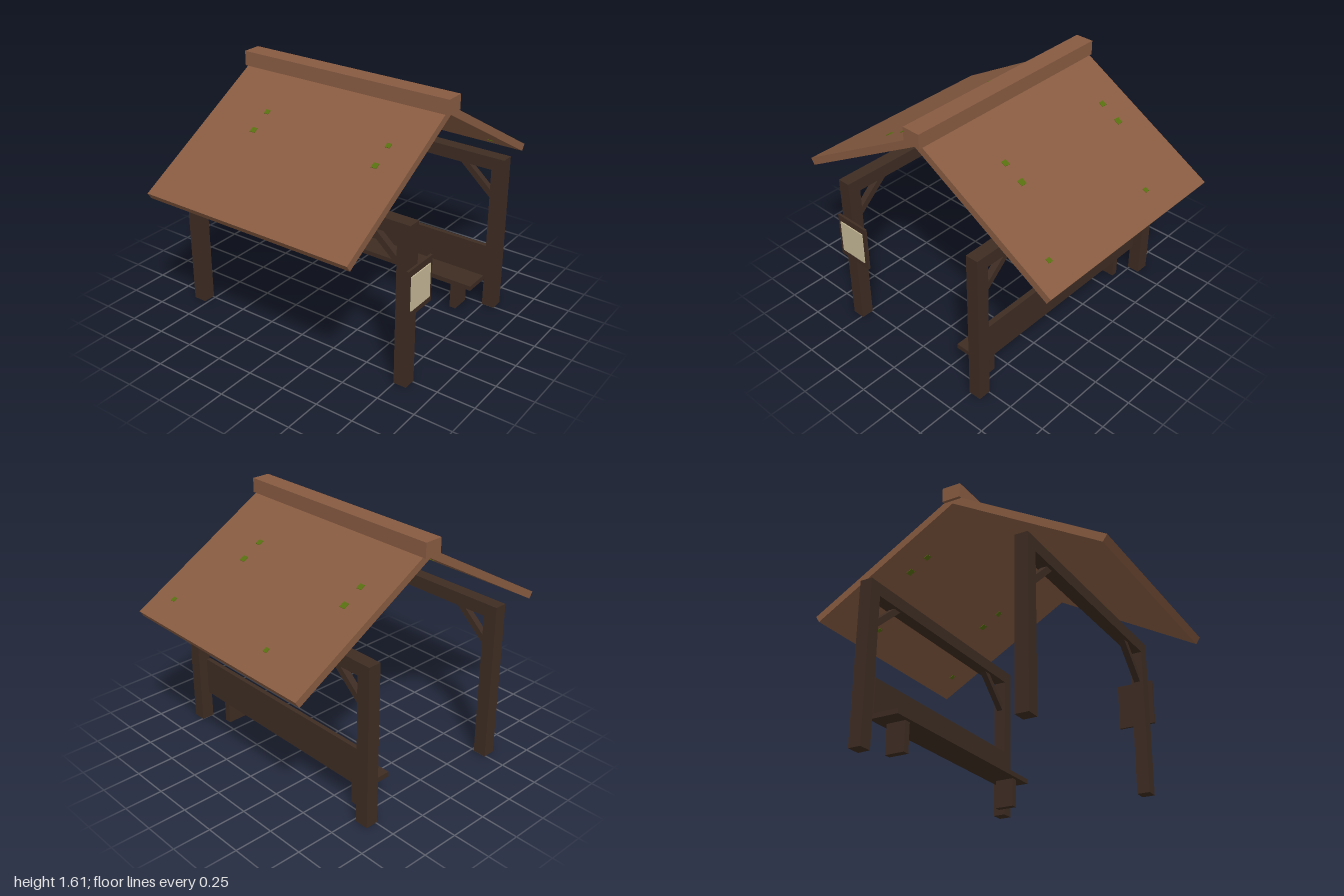
import * as THREE from 'three';

const mat = (name, color) => {
  const m = new THREE.MeshStandardMaterial({ color });
  m.name = name;
  return m;
};

export function createModel() {
  const model = new THREE.Group();
  model.name = 'openShelter';
  const darkWood = mat('dark wood', 0x3d2c22);
  const roofWood = mat('roof wood', 0x875b41);
  const paper = mat('paper', 0xc6b997);
  const moss = mat('moss', 0x58700f);

  // Box given by its extents on each axis
  function box(name, material, [x0, x1], [y0, y1], [z0, z1]) {
    const mesh = new THREE.Mesh(new THREE.BoxGeometry(x1 - x0, y1 - y0, z1 - z0), material);
    mesh.position.set((x0 + x1) / 2, (y0 + y1) / 2, (z0 + z1) / 2);
    mesh.name = name;
    model.add(mesh);
    return mesh;
  }

  // Front and back frames: two posts, a top beam and two diagonal braces
  const left = 0.745, right = -0.77;
  for (const side of [1, -1]) {
    const z = [side * 0.5325 - 0.0425, side * 0.5325 + 0.0425];
    box('post', darkWood, [-0.86, right], [0, 1.067], z);
    box('post', darkWood, [left, 0.83], [0, 1.067], z);
    box('topBeam', darkWood, [right, left], [0.983, 1.067], z);
    for (const [x, dir] of [[right, 1], [left, -1]]) {
      const shape = new THREE.Shape([
        new THREE.Vector2(x, 0.77), new THREE.Vector2(x + dir * 0.24, 0.983),
        new THREE.Vector2(x + dir * 0.178, 0.983), new THREE.Vector2(x, 0.825),
      ]);
      const geometry = new THREE.ExtrudeGeometry(shape, { depth: 0.042, bevelEnabled: false });
      const brace = new THREE.Mesh(geometry, darkWood);
      brace.position.z = side * 0.5325 - 0.021;
      brace.name = 'brace';
      model.add(brace);
    }
  }

  // Bench along the back
  box('benchSeat', darkWood, [right, left], [0.19, 0.222], [-0.49, -0.31]);
  box('benchBack', darkWood, [right, left], [0.19, 0.445], [-0.512, -0.482]);
  for (const x of [-0.64, 0.608]) {
    box('benchLeg', darkWood, [x - 0.022, x + 0.022], [0, 0.19], [-0.467, -0.335]);
  }

  // Notice board on the front left post
  box('boardFrame', darkWood, [0.83, 0.846], [0.495, 0.8], [0.357, 0.605]);
  box('boardPaper', paper, [0.846, 0.853], [0.537, 0.758], [0.382, 0.58]);

  // Gabled roof, extruded along x from its end profile
  const profile = new THREE.Shape([
    [0, 1.498], [0.973, 0.936], [1, 0.977], [0, 1.554], [-1, 0.977], [-0.973, 0.936],
  ].map(([z, y]) => new THREE.Vector2(z, y)));
  const roofGeometry = new THREE.ExtrudeGeometry(profile, { depth: 1.467, bevelEnabled: false });
  roofGeometry.rotateY(Math.PI / 2).translate(-0.75, 0, 0);
  const roof = new THREE.Mesh(roofGeometry, roofWood);
  roof.name = 'roof';
  model.add(roof);
  box('ridgeCap', roofWood, [-0.77, 0.74], [1.518, 1.613], [-0.062, 0.062]);

  // Moss patches, on both faces of the roof
  const patches = [
    [-0.375, 0.31, 0.032], [-0.375, 0.44, 0.036], [0.51, 0.31, 0.032], [0.51, 0.44, 0.036],
    [-0.545, -0.45, 0.04], [-0.545, -0.325, 0.036], [0.345, -0.45, 0.04], [0.345, -0.325, 0.036],
    [-0.33, -0.835, 0.03], [0.555, -0.835, 0.03],
  ];
  const pitch = Math.PI / 6;
  for (const [x, z, size] of patches) {
    const patch = new THREE.Group();
    patch.name = 'mossPatch';
    patch.position.set(x, 1.526 - Math.tan(pitch) * Math.abs(z), z);
    patch.rotation.x = Math.sign(z) * pitch;
    for (const face of [1, -1]) {
      const plate = new THREE.Mesh(new THREE.BoxGeometry(size, 0.006, size), moss);
      plate.position.y = face * 0.0245;
      plate.name = 'mossPlate';
      patch.add(plate);
    }
    model.add(patch);
  }

  return model;
}
